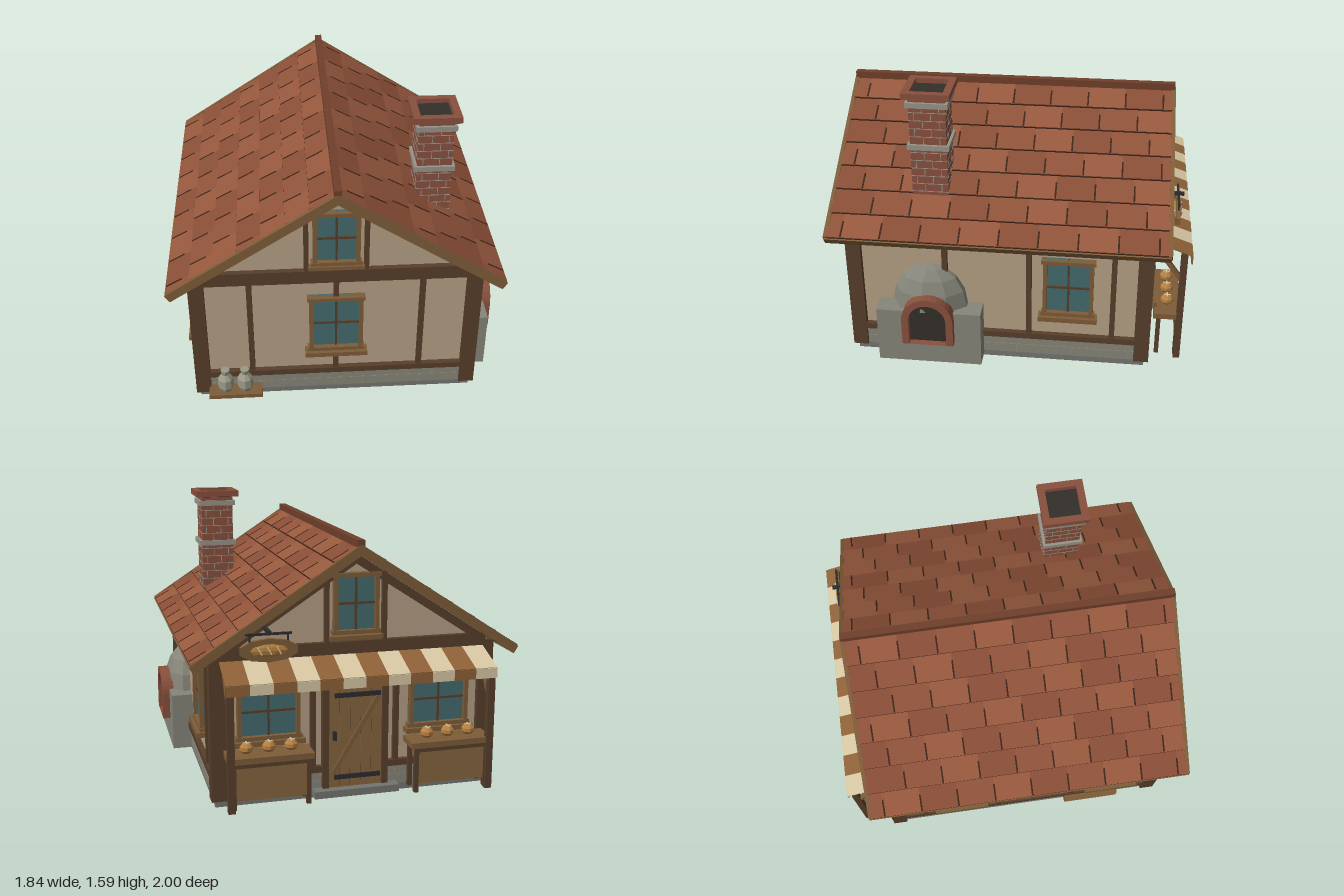
import * as THREE from 'three';

const mat = (color) => new THREE.MeshStandardMaterial({ color, flatShading: true });
const M = {
  plaster: mat(0xb59f84), dark: mat(0x573e2a), wood: mat(0x7d5c38), plank: mat(0x86643e),
  glass: mat(0x446a6c), stone: mat(0x85857a), slab: mat(0x74746f), mortar: mat(0x9a8a70),
  brick: mat(0x89503d), band: mat(0x98948a), soot: mat(0x332f2b), iron: mat(0x2c2c2e),
  cream: mat(0xd8c8a4), stripe: mat(0x8f6238), bread: mat(0xb57f40), joint: mat(0x3c2419),
  ridge: mat(0x6f3f2b), jar: mat(0x9a9a88),
  tiles: [mat(0x8f5239), mat(0x96583d), mat(0x884d36)],
};
// House centre, half sizes to the wall faces, roof slope
const CX = -0.03, CZ = 0.06, HX = 0.765, HZ = 0.825;
const SLOPE = Math.atan2(0.58, 0.89), ROOF_LEN = 1.06, RIDGE_Y = 1.39;

function add(parent, name, geo, material, p = [0, 0, 0], r = [0, 0, 0]) {
  const m = new THREE.Mesh(geo, material);
  m.name = name;
  m.position.set(...p);
  m.rotation.set(...r);
  parent.add(m);
  return m;
}
const box = (parent, name, material, s, p, r) => add(parent, name, new THREE.BoxGeometry(...s), material, p, r);
function group(parent, name, p = [0, 0, 0], ry = 0) {
  const g = new THREE.Group();
  g.name = name;
  g.position.set(...p);
  g.rotation.y = ry;
  parent.add(g);
  return g;
}

// Window on a wall group (x along the wall, z outward)
function addWindow(wall, u, y0, y1, w, sill = true) {
  const g = group(wall, 'window', [u, (y0 + y1) / 2, 0]), h = y1 - y0, t = 0.022;
  box(g, 'glass', M.glass, [w, h, 0.03], [0, 0, 0]);
  for (const s of [-1, 1]) {
    box(g, 'windowJamb', M.wood, [t, h, 0.05], [s * (w - t) / 2, 0, 0.015]);
    box(g, 'windowRail', M.wood, [w + 0.02, t, 0.055], [0, s * (h - t) / 2, 0.015]);
  }
  box(g, 'muntin', M.dark, [0.012, h, 0.03], [0, 0, 0.008]);
  box(g, 'muntin', M.dark, [w, 0.012, 0.03], [0, 0, 0.008]);
  if (sill) box(g, 'windowSill', M.wood, [w + 0.05, 0.028, 0.065], [0, -h / 2 - 0.014, 0.03]);
}

// Stone footing, beams and studs shared by all four walls
function addWall(house, name, p, ry, half, studs) {
  const wall = group(house, name, p, ry);
  box(wall, 'footing', M.stone, [2 * half, 0.12, 0.03], [0, 0.1, 0]);
  box(wall, 'mortarLine', M.mortar, [2 * half, 0.004, 0.004], [0, 0.098, 0.014]);
  for (let row = 0; row < 2; row++)
    for (let u = -half + 0.1 + row * 0.08; u < half; u += 0.16)
      box(wall, 'mortarLine', M.mortar, [0.004, 0.055, 0.004], [u, 0.07 + row * 0.055, 0.014]);
  box(wall, 'sillBeam', M.dark, [2 * half, 0.036, 0.04], [0, 0.17, 0.01]);
  box(wall, 'topBeam', M.dark, [2 * half, 0.08, 0.04], [0, 0.84, 0.01]);
  for (const u of studs) box(wall, 'stud', M.dark, [0.03, 0.62, 0.04], [u, 0.49, 0.006]);
  return wall;
}

function addGable(wall) {
  addWindow(wall, 0, 0.92, 1.25, 0.25, false);
  box(wall, 'gableRail', M.wood, [0.3, 0.022, 0.05], [0, 0.9, 0.015]);
  for (const s of [-1, 1]) box(wall, 'gableStud', M.dark, [0.026, 0.38, 0.04], [s * 0.16, 1.06, 0.008]);
}

function addRoofSide(house, ry) {
  const turn = group(house, 'roofSide', [0, RIDGE_Y, 0], ry);
  const g = group(turn, 'roofSlope');
  g.rotation.z = -SLOPE;
  const L = ROOF_LEN, rows = 7, step = L / rows, end = 0.925;
  box(g, 'roofDeck', M.dark, [L, 0.03, 1.85], [L / 2, -0.015, 0]);
  for (let r = 0; r < rows; r++) {
    // Staggered tiles between joints
    const x = (r + 0.5) * step;
    const cuts = [-end];
    for (let z = -0.87 + 0.0714 * ((r * 2) % 3); z < end - 0.02; z += 0.2142) cuts.push(z);
    cuts.push(end);
    for (let i = 0; i < cuts.length - 1; i++) {
      box(g, 'roofTile', M.tiles[(i * 2 + r * r) % 3], [step + 0.006, 0.014, cuts[i + 1] - cuts[i]],
        [x, 0.008, (cuts[i] + cuts[i + 1]) / 2], [0, 0, 0.07]);
      if (i) box(g, 'tileJoint', M.joint, [0.1, 0.006, 0.009], [x + 0.025, 0.0158, cuts[i]], [0, 0, 0.07]);
    }
    box(g, 'courseShadow', M.joint, [0.006, 0.008, 1.85], [(r + 1) * step + 0.003, 0.012, 0]);
  }
  for (const s of [-1, 1]) {
    box(g, 'bargeBoard', M.wood, [L + 0.01, 0.05, 0.022], [L / 2, -0.008, s * 0.929]);
    box(g, 'gableRafter', M.dark, [0.9, 0.045, 0.035], [0.47, -0.055, s * (HZ + 0.012)]);
  }
  box(g, 'eaveBoard', M.wood, [0.025, 0.045, 1.87], [L + 0.002, -0.012, 0]);
}

function addChimney(root) {
  const g = group(root, 'chimney', [0.525, 0, 0.447]);
  const w = 0.19, d = 0.2;
  box(g, 'chimneyStack', M.brick, [w, 0.62, d], [0, 1.24, 0]);
  for (let i = 0; i < 11; i++) {
    const y = 1.0 + i * 0.047;
    box(g, 'mortarLine', M.band, [w + 0.003, 0.004, d + 0.003], [0, y, 0]);
    for (const k of [-1, 1]) {
      const o = k * 0.045 + (i % 2 ? 0.025 : -0.02);
      box(g, 'mortarLine', M.band, [0.004, 0.047, d + 0.003], [o, y + 0.0235, 0]);
      box(g, 'mortarLine', M.band, [w + 0.003, 0.047, 0.004], [0, y + 0.0235, o]);
    }
  }
  for (const y of [1.27, 1.515]) box(g, 'chimneyBand', M.band, [0.22, 0.03, 0.23], [0, y, 0]);
  box(g, 'flue', M.soot, [0.175, 0.02, 0.185], [0, 1.555, 0]);
  for (const s of [-1, 1]) {
    box(g, 'chimneyCap', M.brick, [0.26, 0.035, 0.04], [0, 1.573, s * 0.11]);
    box(g, 'chimneyCap', M.brick, [0.04, 0.035, 0.26], [s * 0.11, 1.573, 0]);
  }
}

// Arch outline standing on y = 0
function arch(S, r, h) {
  const s = new S();
  s.moveTo(-r, 0);
  s.lineTo(r, 0);
  s.lineTo(r, h);
  s.absarc(0, h, r, 0, Math.PI, false);
  s.lineTo(-r, 0);
  return s;
}
function addOven(wall) {
  const g = group(wall, 'oven', [-0.385, 0, 0]);
  box(g, 'ovenBase', M.stone, [0.59, 0.34, 0.145], [0, 0.19, 0.053]);
  const dome = add(g, 'ovenDome', new THREE.SphereGeometry(1, 9, 4, 0, Math.PI * 2, 0, Math.PI / 2), M.stone, [0, 0.36, 0]);
  dome.scale.set(0.22, 0.25, 0.135);
  const ring = arch(THREE.Shape, 0.145, 0.155);
  ring.holes.push(arch(THREE.Path, 0.105, 0.155));
  const opt = { bevelEnabled: false, curveSegments: 8 };
  add(g, 'ovenArch', new THREE.ExtrudeGeometry(ring, { ...opt, depth: 0.07 }), M.brick, [0, 0.17, 0.1]);
  add(g, 'ovenMouth', new THREE.ExtrudeGeometry(arch(THREE.Shape, 0.11, 0.155), { ...opt, depth: 0.1 }), M.soot, [0, 0.17, 0.03]);
}

function addDoor(wall) {
  const g = group(wall, 'door');
  box(g, 'doorStep', M.slab, [0.48, 0.04, 0.1], [0, 0.04, 0.03]);
  for (let i = 0; i < 5; i++) box(g, 'doorPlank', M.plank, [0.058, 0.62, 0.036], [(i - 2) * 0.06, 0.37, 0.014]);
  box(g, 'doorBack', M.dark, [0.3, 0.62, 0.03], [0, 0.37, 0.014]);
  for (const s of [-1, 1]) box(g, 'doorJamb', M.dark, [0.035, 0.66, 0.06], [s * 0.168, 0.39, 0.01]);
  box(g, 'doorLintel', M.dark, [0.39, 0.04, 0.06], [0, 0.7, 0.01]);
  box(g, 'doorBrace', M.wood, [0.025, 0.5, 0.012], [0, 0.355, 0.036], [0, 0, -0.54]);
  for (const y of [0.12, 0.585]) box(g, 'hingeStrap', M.iron, [0.26, 0.025, 0.014], [0.01, y, 0.036]);
  box(g, 'doorHandle', M.iron, [0.018, 0.05, 0.025], [-0.12, 0.36, 0.042]);
}

function addStall(wall, u) {
  const g = group(wall, 'stall', [u, 0, 0.12]);
  box(g, 'stallTop', M.wood, [0.46, 0.032, 0.15], [0, 0.317, 0]);
  box(g, 'stallPanel', M.plank, [0.4, 0.2, 0.012], [0, 0.2, 0.064]);
  box(g, 'stallRail', M.dark, [0.42, 0.02, 0.02], [0, 0.29, 0.064]);
  for (const s of [-1, 1]) for (const z of [-0.045, 0.06])
    box(g, 'stallLeg', M.dark, [0.024, 0.26, 0.024], [s * 0.2, 0.18, z]);
  for (let i = -1; i < 2; i++) {
    const loaf = add(g, 'loaf', new THREE.SphereGeometry(0.038, 8, 5), M.bread, [i * 0.12, 0.364, 0]);
    loaf.scale.y = 0.8;
    for (const a of [0, Math.PI / 2]) box(g, 'loafScore', M.cream, [0.04, 0.004, 0.007], [i * 0.12, 0.394, 0], [0, a, 0]);
  }
}

function addAwning(wall) {
  const g = group(wall, 'awning'), w = 0.1225, tilt = Math.atan2(0.075, 0.205);
  for (let i = 0; i < 12; i++) {
    const u = -0.74 + (i + 0.5) * w, m = i % 2 ? M.cream : M.stripe;
    box(g, 'awningStripe', m, [w, 0.008, 0.218], [u, 0.772, 0.128], [tilt, 0, 0]);
    box(g, 'awningValance', m, [w, 0.055, 0.008], [u, 0.708, 0.231]);
  }
  box(g, 'awningBeam', M.dark, [1.47, 0.028, 0.03], [0, 0.725, 0.19]);
  for (const s of [-1, 1]) {
    box(g, 'awningPost', M.dark, [0.038, 0.69, 0.036], [s * 0.715, 0.385, 0.19]);
    box(g, 'awningBrace', M.wood, [0.025, 0.025, 0.23], [s * 0.715, 0.65, 0.12], [0.945, 0, 0]);
  }
}

function addSignAndLantern(wall) {
  const sign = group(wall, 'sign', [-0.5, 0, 0.145]);
  box(sign, 'signArm', M.iron, [0.018, 0.018, 0.18], [0, 0.985, -0.06]);
  box(sign, 'signCrossbar', M.iron, [0.24, 0.012, 0.012], [0, 0.975, 0]);
  for (const s of [-1, 1]) box(sign, 'signHanger', M.iron, [0.008, 0.05, 0.008], [s * 0.1, 0.955, 0]);
  const board = add(sign, 'signBoard', new THREE.CylinderGeometry(1, 1, 0.022, 10), M.wood, [0, 0.89, 0], [Math.PI / 2, 0, 0]);
  board.scale.set(0.158, 1, 0.062);
  const loaf = add(sign, 'signLoaf', new THREE.SphereGeometry(1, 10, 6), M.bread, [0, 0.89, 0]);
  loaf.scale.set(0.115, 0.038, 0.024);
  for (let i = -1; i < 2; i++) for (const s of [-1, 1])
    box(sign, 'loafScore', M.cream, [0.007, 0.045, 0.008], [i * 0.05, 0.89, s * 0.02], [0, 0, 0.5]);
  const lamp = group(wall, 'lantern', [0.25, 0, 0.085]);
  box(lamp, 'lanternArm', M.iron, [0.012, 0.012, 0.1], [0, 0.765, -0.04]);
  box(lamp, 'lanternGlass', M.glass, [0.052, 0.075, 0.052], [0, 0.697, 0]);
  box(lamp, 'lanternBase', M.iron, [0.068, 0.012, 0.068], [0, 0.655, 0]);
  add(lamp, 'lanternCap', new THREE.CylinderGeometry(0.012, 0.05, 0.03, 4), M.iron, [0, 0.75, 0], [0, Math.PI / 4, 0]);
  for (const a of [-1, 1]) for (const b of [-1, 1])
    box(lamp, 'lanternBar', M.iron, [0.008, 0.08, 0.008], [a * 0.028, 0.697, b * 0.028]);
}

export function createModel() {
  const root = new THREE.Group();
  root.name = 'bakeryHouse';
  const house = group(root, 'house', [CX, 0, CZ]);

  // Base slab and plastered body with gables
  box(house, 'baseSlab', M.slab, [1.545, 0.04, 1.66], [0, 0.02, 0]);
  const s = new THREE.Shape([[-HX, 0.04], [HX, 0.04], [HX, 0.86], [0, 1.355], [-HX, 0.86]].map((p) => new THREE.Vector2(...p)));
  add(house, 'walls', new THREE.ExtrudeGeometry(s, { depth: 2 * HZ, bevelEnabled: false }), M.plaster, [0, 0, -HZ]);
  for (const a of [-1, 1]) for (const b of [-1, 1])
    box(house, 'cornerPost', M.dark, [0.085, 0.8, 0.085], [a * 0.7525, 0.44, b * 0.8125]);

  // Walls: x runs along each wall, z points outward
  const front = addWall(house, 'frontWall', [0, 0, HZ], 0, 0.745, [-0.47, 0.47]);
  const back = addWall(house, 'backWall', [0, 0, -HZ], Math.PI, 0.745, [-0.235, 0.235]);
  const right = addWall(house, 'leftWall', [HX, 0, 0], Math.PI / 2, 0.8, [-0.3, 0.17, 0.64]);
  const left = addWall(house, 'rightWall', [-HX, 0, 0], -Math.PI / 2, 0.8, [-0.64, -0.17, 0.3]);
  addGable(front);
  addGable(back);

  addWindow(front, 0, 0.33, 0.7, 0.295);
  box(front, 'stud', M.dark, [0.03, 0.12, 0.04], [0, 0.245, 0.006]);
  box(front, 'stud', M.dark, [0.03, 0.1, 0.04], [0, 0.75, 0.006]);
  addWindow(right, 0.39, 0.33, 0.69, 0.28);
  for (const u of [-0.405, 0.54]) addWindow(left, u, 0.33, 0.69, 0.28);
  for (const u of [-0.48, 0.48]) addWindow(back, u, 0.37, 0.68, 0.34);

  // Roof
  addRoofSide(house, 0);
  addRoofSide(house, Math.PI);
  box(house, 'ridgeCap', M.ridge, [0.04, 0.04, 1.87], [0, 1.412, 0]);
  addChimney(root);
  addOven(right);

  // Shop front
  addDoor(back);
  addAwning(back);
  for (const u of [-0.5, 0.5]) addStall(back, u);
  addSignAndLantern(back);

  // Bench with jars, and stacked firewood
  box(root, 'bench', M.wood, [0.3, 0.026, 0.1], [-0.6, 0.07, 0.94]);
  const jar = [[0, 0], [0.032, 0], [0.045, 0.03], [0.043, 0.085], [0.02, 0.115], [0.026, 0.145], [0, 0.145]].map((p) => new THREE.Vector2(...p));
  for (const x of [-0.655, -0.545]) add(root, 'jar', new THREE.LatheGeometry(jar, 8), M.jar, [x, 0.083, 0.938]);
  for (const [x, y] of [[-0.825, 0.08], [-0.825, 0.133], [-0.8, 0.106]])
    add(root, 'firewoodLog', new THREE.CylinderGeometry(0.028, 0.028, 0.34, 7), M.wood, [x, y, 0.49], [Math.PI / 2, 0, 0]);
  return root;
}
